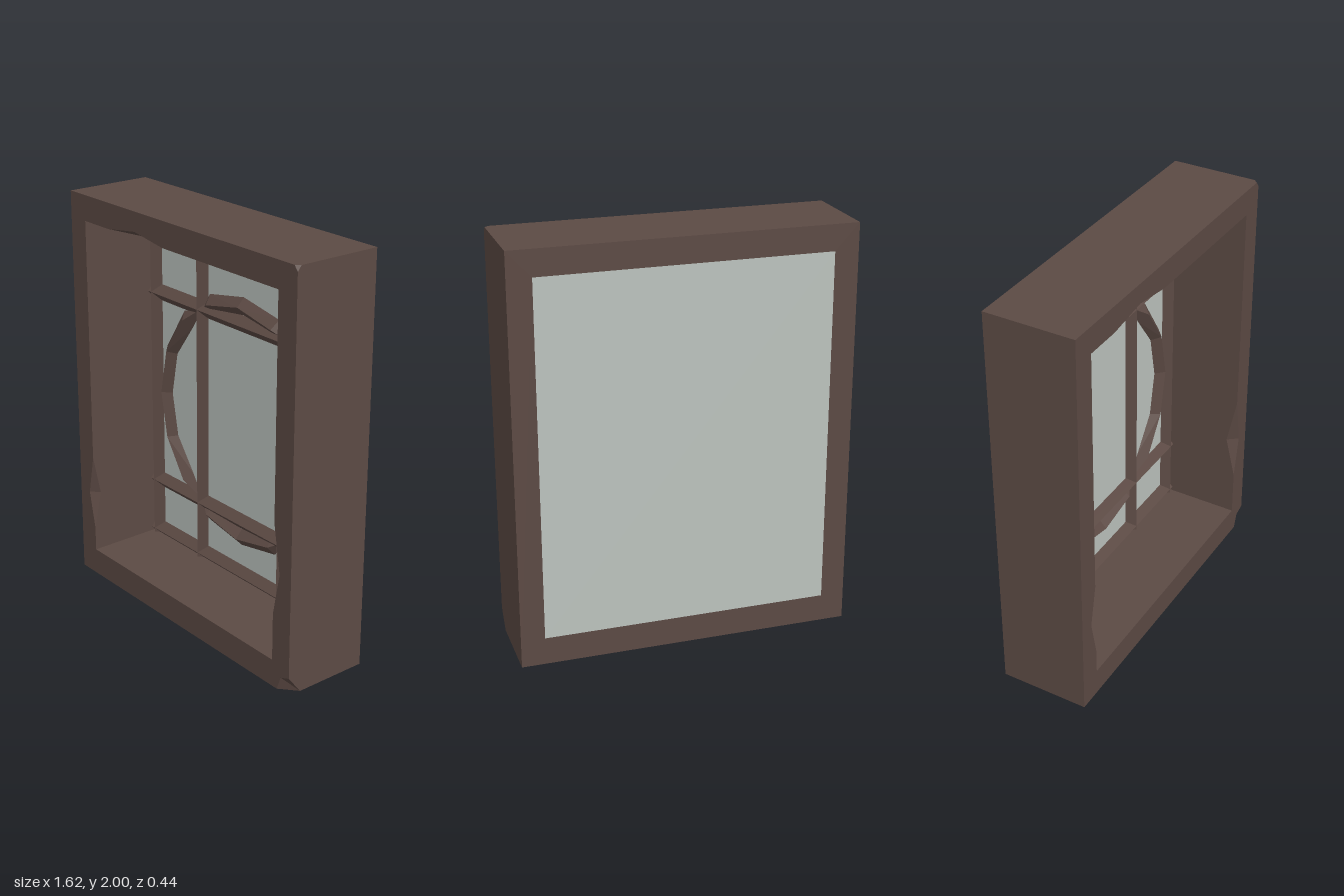
import * as THREE from 'three';

const X = 0.81, H = 2, Z = 0.22;                    // outer frame
const IX = 0.695, Y0 = 0.135, Y1 = 1.875;           // opening
const GLASS_Z = -0.18, CREST_Z = -0.14, MID_Y = 0.95;
const BAR_X = 0.305, BAR_Y = [0.44, 1.46], HALF = 0.042;

const v = (x, y, z) => new THREE.Vector3(x, y, z);

// Flat polygon in space (with optional holes), wound to face the given normal
function addFace(out, normal, points, holes = []) {
  const n = normal.toArray().map(Math.abs);
  const drop = n.indexOf(Math.max(...n));
  const flat = (p) => new THREE.Vector2(...p.toArray().filter((_, i) => i !== drop));
  const all = [points, ...holes].flat();
  const tris = THREE.ShapeUtils.triangulateShape(points.map(flat), holes.map((h) => h.map(flat)));
  for (const [i, j, k] of tris) {
    const a = all[i], b = all[j], c = all[k];
    const dir = b.clone().sub(a).cross(c.clone().sub(a)).dot(normal);
    for (const p of dir > 0 ? [a, b, c] : [a, c, b]) out.push(p.x, p.y, p.z);
  }
}

function toMesh(name, positions, material) {
  const g = new THREE.BufferGeometry();
  g.setAttribute('position', new THREE.Float32BufferAttribute(positions, 3));
  g.computeVertexNormals();
  const mesh = new THREE.Mesh(g, material);
  mesh.name = name;
  return mesh;
}

// Triangular moulding: two base lines on the glass and a raised crest between
function moulding(name, sideA, crest, sideB, material) {
  const out = [];
  const low = ([x, y]) => v(x, y, GLASS_Z), high = ([x, y]) => v(x, y, CREST_Z);
  const front = v(0, 0, 1);
  for (let i = 0; i < crest.length - 1; i++) {
    for (const side of [sideA, sideB]) {
      const a = low(side[i]), b = low(side[i + 1]), c = high(crest[i]), d = high(crest[i + 1]);
      addFace(out, front, [a, b, d]);
      addFace(out, front, [a, d, c]);
    }
  }
  return toMesh(name, out, material);
}

function buildFrame(material) {
  const out = [];

  // Bottom and top corner chips on the model's left
  const b1 = v(0.73, 0, Z), b2 = v(0.755, 0.07, Z), b3 = v(X, 0.09, Z), b4 = v(X, 0, 0.15);
  const t1 = v(0.79, H, Z), t2 = v(X, 1.975, Z), t3 = v(X, H, 0.2);
  addFace(out, v(1, -1, 1), [b1, b4, b2]);
  addFace(out, v(1, -1, 1), [b2, b4, b3]);
  addFace(out, v(1, 1, 1), [t1, t2, t3]);

  // Inner walls; each may have a chip on its front edge: start, end, front peak, wall point
  const sides = [
    { a: v(-IX, Y0, Z), b: v(IX, Y0, Z), n: v(0, 1, 0) },
    { a: v(IX, Y0, Z), b: v(IX, Y1, Z), n: v(-1, 0, 0),
      chip: [v(IX, 0.37, Z), v(IX, 0.82, Z), v(0.735, 0.58, Z), v(IX, 0.58, 0.17)] },
    { a: v(IX, Y1, Z), b: v(-IX, Y1, Z), n: v(0, -1, 0),
      chip: [v(-0.09, Y1, Z), v(-0.51, Y1, Z), v(-0.3, 1.905, Z), v(-0.3, Y1, 0.17)] },
    { a: v(-IX, Y1, Z), b: v(-IX, Y0, Z), n: v(1, 0, 0),
      chip: [v(-IX, 0.65, Z), v(-IX, 0.26, Z), v(-0.735, 0.45, Z), v(-IX, 0.45, 0.18)] },
  ];
  const opening = [];
  for (const { a, b, n, chip } of sides) {
    const wall = [a];
    opening.push(a);
    if (chip) {
      const [s, e, peak, deep] = chip;
      opening.push(s, peak, e);
      wall.push(s, deep, e);
      const facing = n.clone().add(v(0, 0, 1));
      addFace(out, facing, [s, peak, deep]);
      addFace(out, facing, [peak, e, deep]);
    }
    wall.push(b, v(b.x, b.y, -Z), v(a.x, a.y, -Z));
    addFace(out, n, wall);
  }

  // Front and back rims
  addFace(out, v(0, 0, 1), [v(-X, 0, Z), b1, b2, b3, t2, t1, v(-X, H, Z)], [opening]);
  addFace(out, v(0, 0, -1), [v(-X, 0, -Z), v(X, 0, -Z), v(X, H, -Z), v(-X, H, -Z)],
    [sides.map(({ a }) => v(a.x, a.y, -Z))]);

  // Outer sides
  addFace(out, v(1, 0, 0), [v(X, 0, -Z), b4, b3, t2, t3, v(X, H, -Z)]);
  addFace(out, v(-1, 0, 0), [v(-X, 0, -Z), v(-X, 0, Z), v(-X, H, Z), v(-X, H, -Z)]);
  addFace(out, v(0, 1, 0), [v(-X, H, -Z), v(-X, H, Z), t1, t3, v(X, H, -Z)]);
  addFace(out, v(0, -1, 0), [v(-X, 0, -Z), v(-X, 0, Z), b1, b4, v(X, 0, -Z)]);
  return toMesh('frame', out, material);
}

export function createModel() {
  const wood = new THREE.MeshStandardMaterial({ color: 0x5c4a44 });
  wood.name = 'dark wood';
  const pane = new THREE.MeshStandardMaterial({ color: 0xbcc3be });
  pane.name = 'pale glass';

  const model = new THREE.Group();
  model.name = 'window';
  model.add(buildFrame(wood));

  // Glass slab, flush with the back
  const glass = new THREE.Mesh(new THREE.BoxGeometry(IX * 2, Y1 - Y0, GLASS_Z + Z), pane);
  glass.position.set(0, (Y0 + Y1) / 2, (GLASS_Z - Z) / 2);
  glass.name = 'glass';
  model.add(glass);

  // Straight lattice bars, including the border
  const lattice = new THREE.Group();
  lattice.name = 'lattice';
  for (const x of [-0.67, -BAR_X, BAR_X, 0.67]) {
    const line = (o) => [[x + o, Y0], [x + o, Y1]];
    lattice.add(moulding('verticalBar', line(-HALF), line(0), line(HALF), wood));
  }
  for (const y of [0.157, ...BAR_Y, 1.84]) {
    const line = (o) => [[-IX, y + o], [IX, y + o]];
    lattice.add(moulding('horizontalBar', line(-HALF), line(0), line(HALF), wood));
  }
  model.add(lattice);

  // Faceted ring, one quarter mirrored four ways, pinched where the bars cross
  const ring = new THREE.Group();
  ring.name = 'ring';
  const cross = [BAR_X, BAR_Y[1]];
  const arcs = {
    ringSide: [
      [cross, [0.45, 1.41], [0.592, 1.19], [0.635, MID_Y]],
      [cross, [0.42, 1.375], [0.55, 1.18], [0.595, MID_Y]],
      [cross, [0.385, 1.34], [0.51, 1.17], [0.553, MID_Y]],
    ],
    ringEnd: [
      [cross, [0.25, 1.545], [0, 1.59]],
      [cross, [0.235, 1.5], [0, 1.547]],
      [cross, [0.22, 1.46], [0, 1.503]],
    ],
  };
  for (const sx of [1, -1]) for (const sy of [1, -1]) {
    for (const [name, lines] of Object.entries(arcs)) {
      const [outer, crest, inner] = lines.map((l) =>
        l.map(([x, y]) => [sx * x, MID_Y + sy * (y - MID_Y)]));
      ring.add(moulding(name, outer, crest, inner, wood));
    }
  }
  model.add(ring);
  return model;
}
